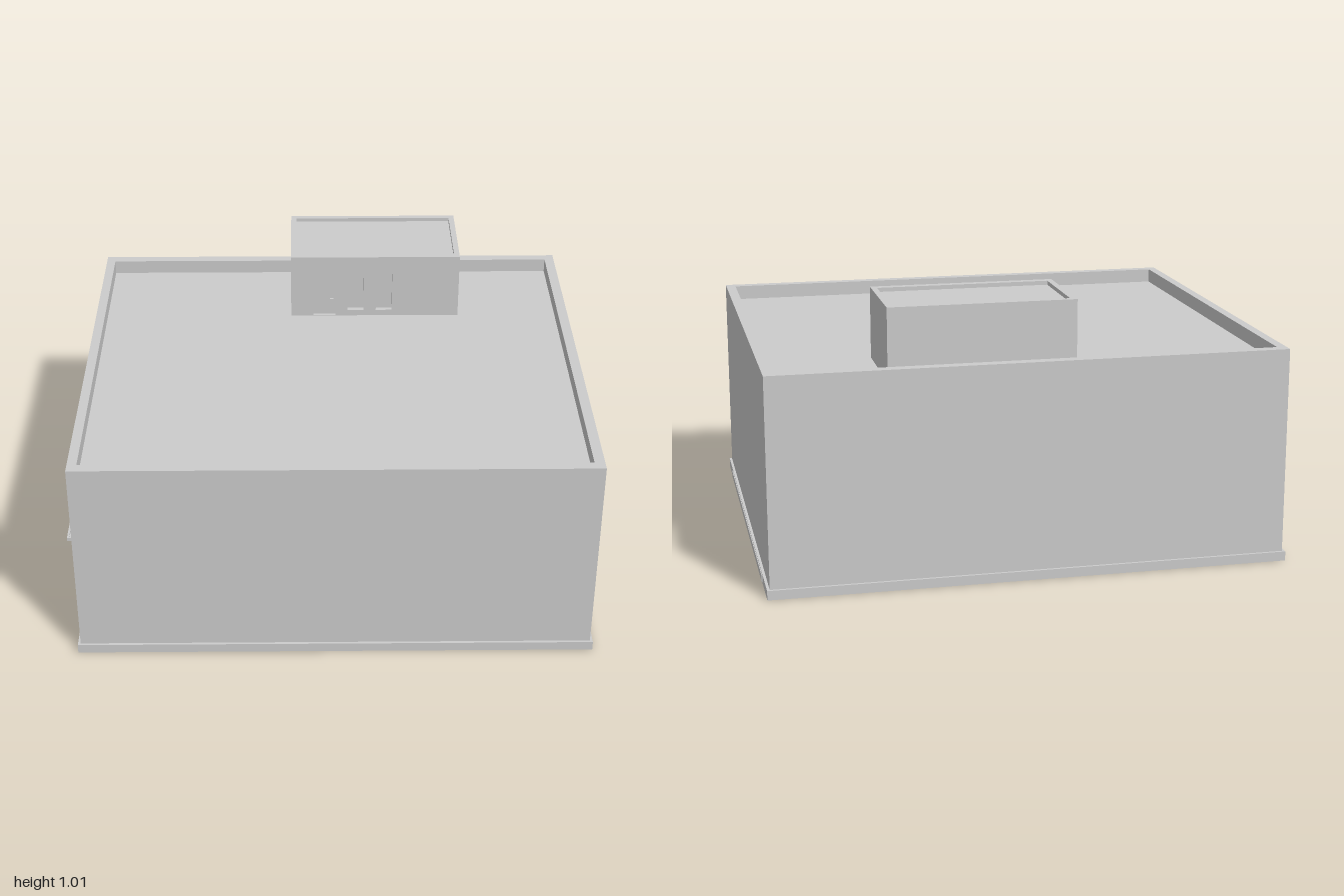
import * as THREE from 'three';

const grey = new THREE.MeshStandardMaterial({ color: 0xcccccc, flatShading: true, side: THREE.DoubleSide });

// Box given by its min and max corners
function box(parent, name, x0, x1, y0, y1, z0, z1) {
  const m = new THREE.Mesh(new THREE.BoxGeometry(x1 - x0, y1 - y0, z1 - z0), grey);
  m.position.set((x0 + x1) / 2, (y0 + y1) / 2, (z0 + z1) / 2);
  m.name = name;
  parent.add(m);
  return m;
}

// Flat wall from outline points with rectangular openings [u0, u1, v0, v1]
function wall(parent, name, outline, openings, depth) {
  const shape = new THREE.Shape(outline.map(([u, v]) => new THREE.Vector2(u, v)));
  for (const [u0, u1, v0, v1] of openings) {
    shape.holes.push(new THREE.Path([[u0, v0], [u0, v1], [u1, v1], [u1, v0]].map(([u, v]) => new THREE.Vector2(u, v))));
  }
  const m = new THREE.Mesh(new THREE.ExtrudeGeometry(shape, { depth, bevelEnabled: false }), grey);
  m.name = name;
  parent.add(m);
  return m;
}

function group(parent, name) {
  const g = new THREE.Group();
  g.name = name;
  parent.add(g);
  return g;
}

// Recessed facade window: reveal lining, pane, mullions and a deep transom
function facadeWindow(parent, zc) {
  const g = group(parent, 'facadeWindow');
  const z0 = zc - 0.12, z1 = zc + 0.12, y0 = 0.385, y1 = 0.595, out = -0.914, back = -0.845, t = 0.006;
  box(g, 'windowSill', out, back, y0 - t, y0, z0 - t, z1 + t);
  box(g, 'windowHead', out, back, y1, y1 + t, z0 - t, z1 + t);
  box(g, 'windowJamb', out, back, y0, y1, z0 - t, z0);
  box(g, 'windowJamb', out, back, y0, y1, z1, z1 + t);
  box(g, 'windowPane', -0.853, -0.85, y0, y1, z0, z1);
  for (let i = 0; i <= 3; i++) {
    const z = z0 + 0.005 + (i * 0.23) / 3;
    box(g, 'windowMullion', -0.862, -0.84, y0, y1, z - 0.005, z + 0.005);
  }
  box(g, 'windowTransom', -0.895, -0.84, 0.528, 0.538, z0, z1);
  box(g, 'windowRail', -0.862, -0.84, y0, y0 + 0.01, z0, z1);
  box(g, 'windowRail', -0.862, -0.84, y1 - 0.01, y1, z0, z1);
}

function buildShell(root) {
  const g = group(root, 'mainBuilding');
  const H = 0.805;
  box(g, 'frontWall', -0.915, 0.985, 0, H, 0.785, 0.825);
  box(g, 'backWall', -0.915, 0.985, 0, H, -0.825, -0.785);
  box(g, 'leftWall', 0.947, 0.985, 0, H, -0.785, 0.785);

  // Entrance side: notch for the entrance and three window openings
  const facade = wall(g, 'entranceWall',
    [[-0.785, 0], [-0.4, 0], [-0.4, 0.28], [0.4, 0.28], [0.4, 0], [0.785, 0], [0.785, H], [-0.785, H]],
    [-0.475, 0, 0.475].map(z => [z - 0.12, z + 0.12, 0.385, 0.595]), 0.035);
  facade.rotation.y = -Math.PI / 2;
  facade.position.x = -0.88;
  box(g, 'roofSlab', -0.88, 0.947, 0.742, 0.75, -0.785, 0.785);
  for (const z of [-0.475, 0, 0.475]) facadeWindow(g, z);

  // Base trim, interrupted at the entrance
  const t = 0.035;
  for (const s of [-1, 1]) {
    box(g, 'baseTrim', -0.925, 0.995, 0, t, Math.min(s * 0.825, s * 0.835), Math.max(s * 0.825, s * 0.835));
    box(g, 'baseTrim', -0.925, -0.915, 0, t, s > 0 ? 0.4 : -0.825, s > 0 ? 0.825 : -0.4);
  }
  box(g, 'baseTrim', 0.985, 0.995, 0, t, -0.825, 0.825);
  box(g, 'sideStrip', 0.995, 0.998, 0.005, 0.03, -0.66, 0.66);
}

function buildEntrance(root) {
  const g = group(root, 'entrance');
  const back = -0.84, n = 7, step = 0.8 / n;
  box(g, 'entranceStep', -0.915, back, 0, 0.025, -0.4, 0.4);
  box(g, 'entranceHead', -0.914, back, 0.28, 0.286, -0.406, 0.406);
  for (const z of [-0.406, 0.4]) box(g, 'entranceJamb', -0.914, back, 0, 0.286, z, z + 0.006);

  // Glazing grid
  box(g, 'entranceGlass', -0.85, -0.847, 0.025, 0.28, -0.4, 0.4);
  for (let i = 0; i <= n; i++) {
    const z = -0.394 + (i * 0.788) / n;
    box(g, 'entranceMullion', -0.862, -0.835, 0.025, 0.28, z - 0.006, z + 0.006);
  }
  for (const y of [0.025, 0.198, 0.27]) box(g, 'entranceRail', -0.862, -0.835, y, y + 0.01, -0.4, 0.4);

  // Canopy: panels between slim ribs
  for (let i = 0; i < n; i++) {
    const z = -0.4 + i * step;
    box(g, 'canopyPanel', -0.992, -0.86, 0.202, 0.208, z + 0.003, z + step - 0.003);
  }
  for (let i = 0; i <= n; i++) {
    const z = -0.397 + (i * 0.794) / n;
    box(g, 'canopyRib', -1, -0.86, 0.198, 0.213, z - 0.003, z + 0.003);
  }
  box(g, 'canopyEdge', -1, -0.992, 0.198, 0.213, -0.4, 0.4);
}

function buildRoofHouse(root) {
  const g = group(root, 'roofHouse');
  const x0 = -0.13, x1 = 0.55, z0 = -0.782, z1 = -0.4, y0 = 0.75, y1 = 1.015, t = 0.022;
  const windows = [0.1, 0.215].map(x => [x, x + 0.065, 0.775, 0.94]);
  const front = wall(g, 'roofHouseFront', [[x0, y0], [x1, y0], [x1, y1], [x0, y1]],
    [[-0.04, 0.05, y0 + 0.002, 0.925], ...windows], 0.03);
  front.position.z = z1 - 0.03;
  box(g, 'roofHouseBack', x0, x1, y0, y1, z0, z0 + t);
  box(g, 'roofHouseSide', x0, x0 + t, y0, y1, z0 + t, z1 - 0.03);
  box(g, 'roofHouseSide', x1 - t, x1, y0, y1, z0 + t, z1 - 0.03);
  box(g, 'roofHouseRoof', x0 + t, x1 - t, 0.99, 1.0, z0 + t, z1 - 0.03);

  // Door with handle, and two narrow windows
  box(g, 'roofDoor', -0.04, 0.05, y0, 0.925, z1 - 0.02, z1 - 0.012);
  box(g, 'doorHandle', 0.028, 0.043, 0.82, 0.824, z1 - 0.012, z1 - 0.003);
  for (const [a, b, c, d] of windows) box(g, 'roofHousePane', a, b, c, d, z1 - 0.027, z1 - 0.02);
}

export function createModel() {
  const root = new THREE.Group();
  root.name = 'building';
  buildShell(root);
  buildEntrance(root);
  buildRoofHouse(root);
  return root;
}
